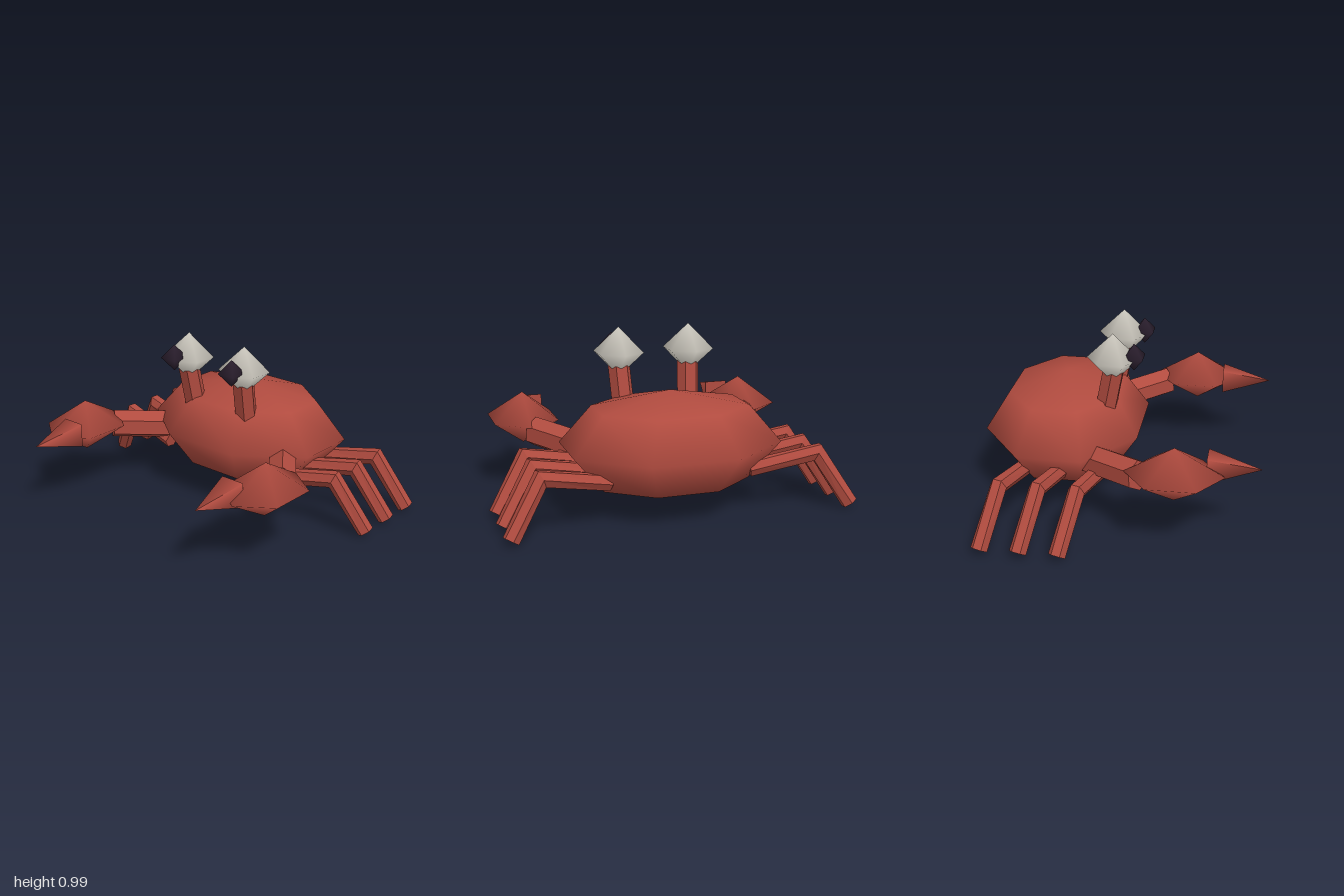
import * as THREE from 'three';

const V = (x, y, z) => new THREE.Vector3(x, y, z);

// Coarse faceted ball, turned about y and stretched
function ball(sides, rings, turn, sx, sy, sz) {
  return new THREE.SphereGeometry(1, sides, rings).rotateY(turn).scale(sx, sy, sz);
}

// Six-sided limb along a path with mitred joints; "hint" points to one of its corners
function limb(points, radius, hint) {
  const n = points.length - 1;
  const dirs = points.slice(1).map((p, i) => p.clone().sub(points[i]).normalize());
  const frames = points.map((p, i) => {
    const a = dirs[Math.max(i - 1, 0)], b = dirs[Math.min(i, n - 1)];
    const t = a.clone().add(b).normalize();
    const w = hint.clone().addScaledVector(t, -hint.dot(t)).normalize();
    return { p, w, u: t.clone().cross(w), stretch: 1 / t.dot(a) };
  });
  const geo = new THREE.CylinderGeometry(radius, radius, 1, 6, n).toNonIndexed();
  const pos = geo.attributes.position;
  for (let i = 0; i < pos.count; i++) {
    const f = frames[Math.round((pos.getY(i) + 0.5) * n)];
    const q = f.p.clone()
      .addScaledVector(f.u, pos.getX(i) * f.stretch)
      .addScaledVector(f.w, pos.getZ(i));
    pos.setXYZ(i, q.x, q.y, q.z);
  }
  geo.computeVertexNormals();
  return geo;
}

export function createModel() {
  const model = new THREE.Group();
  model.name = 'crab';
  const mat = (name, color) => {
    const m = new THREE.MeshStandardMaterial({ color });
    m.name = name;
    return m;
  };
  const red = mat('shell red', 0xb04b3f);
  const white = mat('eye white', 0xcfcbc1);
  const dark = mat('pupil dark', 0x2b1f2e);

  const add = (name, geo, material, x = 0, y = 0, z = 0) => {
    const mesh = new THREE.Mesh(geo, material);
    mesh.name = name;
    mesh.position.set(x, y, z);
    model.add(mesh);
  };
  const shift = 0.005;

  // Shell: flattened eight-sided ball
  add('body', ball(8, 4, Math.PI / 8, 0.638, 0.297, 0.476), red, shift, 0.383, -0.36);

  for (const [side, s] of [['left', 1], ['right', -1]]) {
    // Eyes on leaning stalks
    add(side + 'EyeStalk', limb([V(s * 0.19, 0.45, -0.125), V(s * 0.207, 0.78, -0.06)], 0.064, V(1, 0, 0)), red, shift);
    add(side + 'Eye', ball(6, 2, Math.PI / 2, 0.147, 0.143, 0.147), white, s * 0.208 + shift, 0.847, -0.063);
    add(side + 'Pupil', ball(4, 2, Math.PI / 4, 0.077, 0.078, 0.077), dark, s * 0.217 + shift, 0.863, 0.056);

    // Arm, claw and pincer spike
    add(side + 'Arm', limb([V(s * 0.41, 0.325, -0.18), V(s * 0.655, 0.365, 0.147)], 0.087, V(0, 1, 0)), red, shift);
    add(side + 'Claw', ball(6, 2, Math.PI / 2, 0.217, 0.154, 0.27), red, s * 0.69 + shift, 0.405, 0.338);
    const spike = new THREE.ConeGeometry(0.098, 0.29, 4).rotateY(Math.PI / 4).rotateX(Math.PI / 2);
    add(side + 'Pincer', spike, red, s * 0.609 + shift, 0.425, 0.652);

    // Three bent walking legs
    for (let i = 0; i < 3; i++) {
      const path = [V(s * 0.4, 0.24, -0.11), V(s * 0.785, 0.315, -0.165), V(s * 0.962, 0.022, -0.24)];
      add(side + 'Leg' + (i + 1), limb(path, 0.047, V(0, 0, 1)), red, 0, 0, -0.21 * i);
    }
  }
  return model;
}
